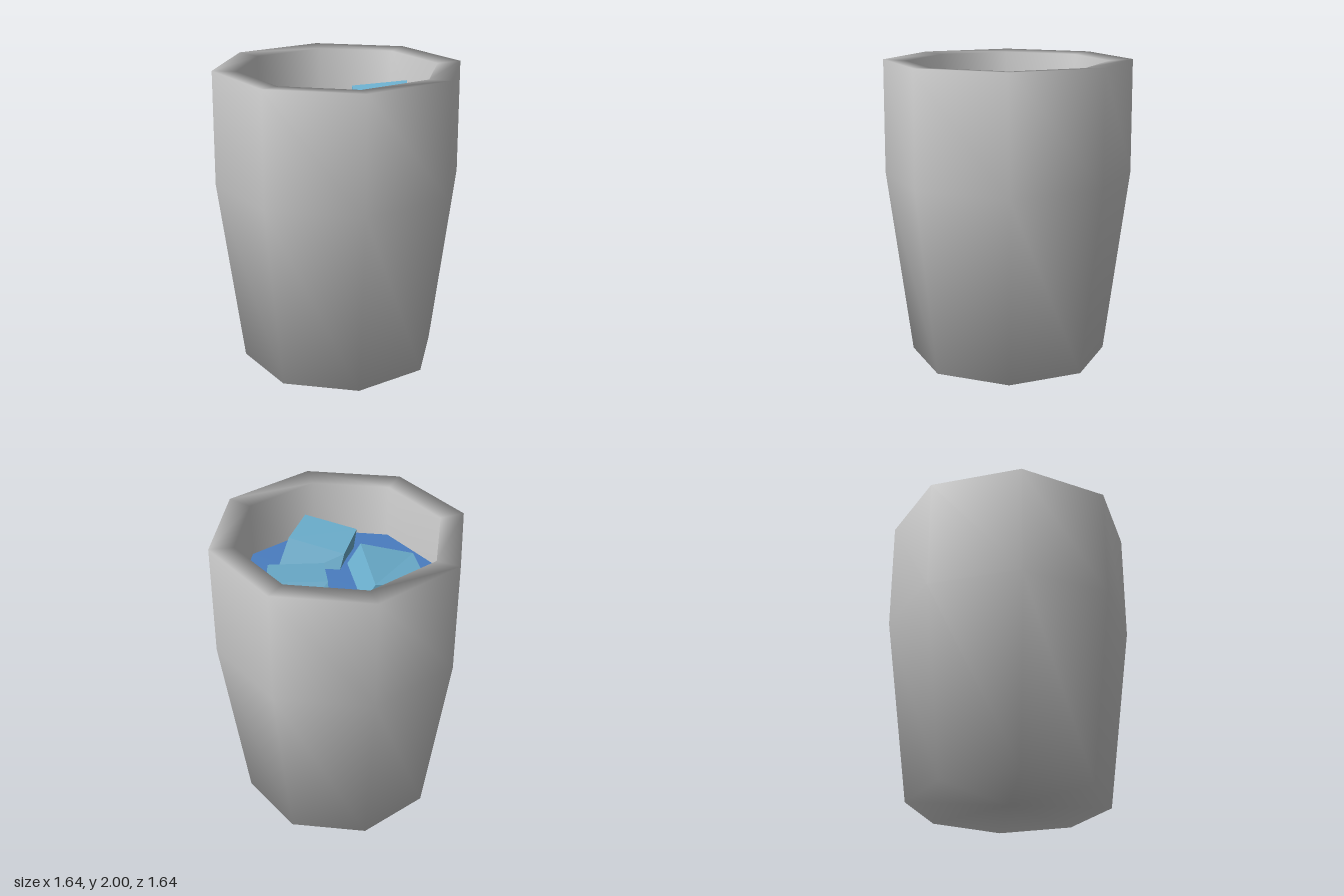
import * as THREE from 'three';

const SIDES = 8;
const WATER_Y = 1.63;
const CUBE_BOTTOM = 1.5;

// Distorted block: four top corners [x, y, z, leanX, leanZ], ordered
// back-left, back-right, front-right, front-left; lean is drift per unit of drop.
function iceCube(corners, material) {
  const geo = new THREE.BoxGeometry(2, 2, 2);
  const pos = geo.attributes.position;
  for (let i = 0; i < pos.count; i++) {
    const right = pos.getX(i) > 0, front = pos.getZ(i) > 0;
    const [x, y, z, lx, lz] = corners[front ? (right ? 2 : 3) : (right ? 1 : 0)];
    const drop = pos.getY(i) > 0 ? 0 : y - CUBE_BOTTOM;
    pos.setXYZ(i, x + lx * drop, y - drop, z + lz * drop);
  }
  geo.computeVertexNormals();
  const mesh = new THREE.Mesh(geo, material);
  mesh.name = 'iceCube';
  return mesh;
}

export function createModel() {
  const group = new THREE.Group();
  group.name = 'drinkingGlass';

  // Thick-walled octagonal cup, smooth shaded all round
  const profile = [
    [0, 0], [0.66, 0], [0.82, 1.25], [0.815, 2],
    [0.66, 1.99], [0.66, 1.25], [0.52, 0.15], [0, 0.15],
  ].map(([r, y]) => new THREE.Vector2(r, y));
  const cup = new THREE.Mesh(
    new THREE.LatheGeometry(profile, SIDES),
    new THREE.MeshStandardMaterial({ color: 0xcccccc })
  );
  cup.name = 'cup';
  group.add(cup);

  // Water surface
  const water = new THREE.Mesh(
    new THREE.CircleGeometry(0.66, SIDES).rotateX(-Math.PI / 2),
    new THREE.MeshStandardMaterial({ color: 0x4a7dc0, side: THREE.DoubleSide })
  );
  water.name = 'water';
  water.position.y = WATER_Y;
  group.add(water);

  // Floating ice
  const ice = new THREE.MeshStandardMaterial({ color: 0x6cafce, flatShading: true });
  const cubes = [
    [[-0.484, 1.72, -0.334, 0.3, -0.05], [-0.15, 1.76, -0.286, 0.58, 0.07],
      [-0.19, 1.776, 0.176, 0.58, 0.1], [-0.527, 1.69, 0.105, 0.3, 0]],
    [[0.14, 1.81, -0.246, 0.11, -0.63], [0.51, 1.84, -0.202, 0.05, -0.73],
      [0.448, 1.79, 0.066, 0, -0.4], [0.097, 1.77, 0.022, -0.06, -0.5]],
    [[-0.075, 1.73, 0.154, 0.35, -0.24], [0.25, 1.8, 0.33, 0.47, -0.26],
      [0.083, 1.82, 0.558, 0.16, -0.1], [-0.224, 1.76, 0.382, 0.2, -0.15]],
  ];
  for (const corners of cubes) group.add(iceCube(corners, ice));

  return group;
}
